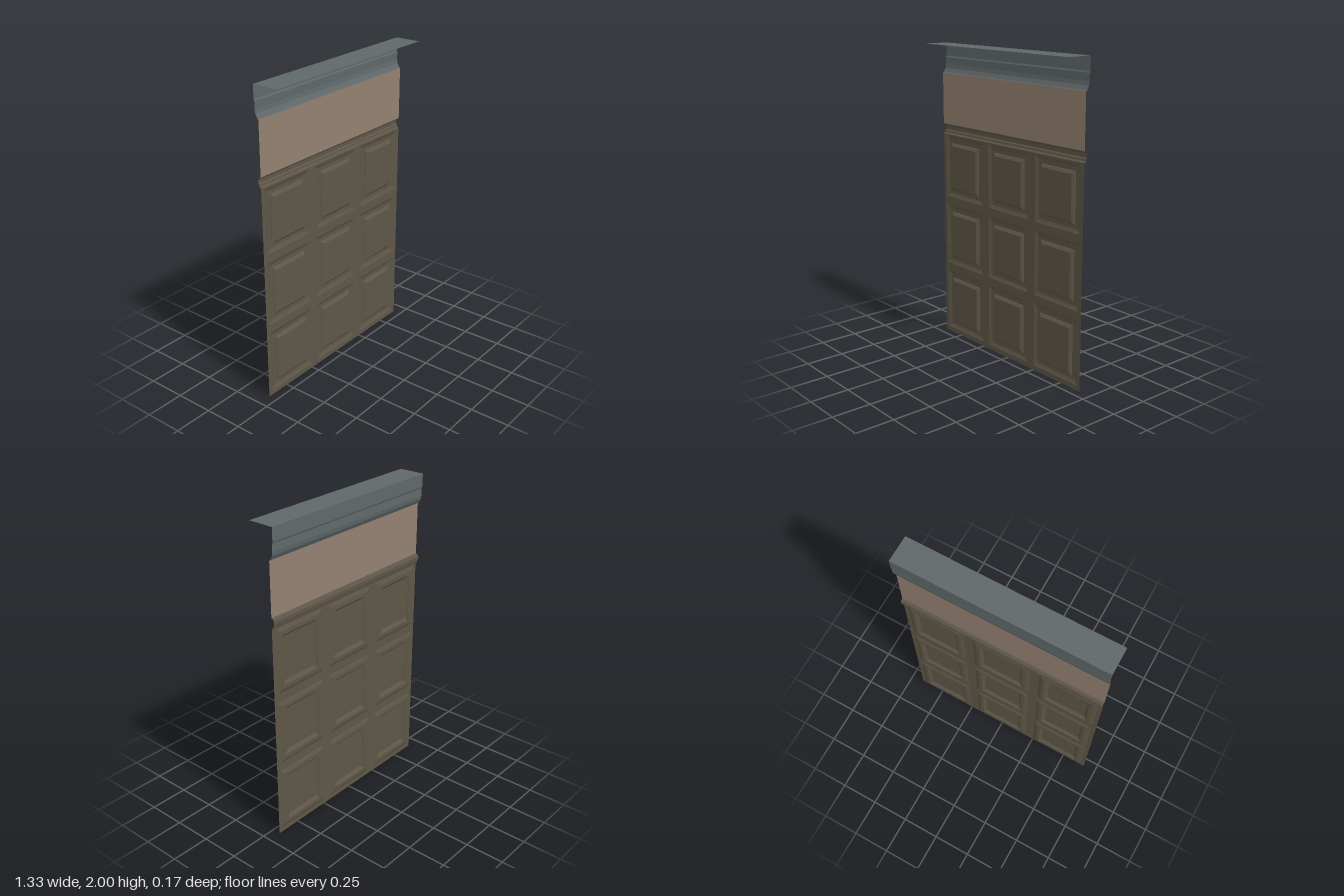
import * as THREE from 'three';

const HALF = 0.665;   // half width of the wall
const WALL_Z = -0.055;

const sheet = (name, color) => {
  const m = new THREE.MeshStandardMaterial({ color, side: THREE.DoubleSide });
  m.name = name;
  return m;
};

// Flat-shaded quads, each given as four corners counter-clockwise from the front
function quads(list) {
  const pos = [];
  for (const [a, b, c, d] of list) pos.push(...a, ...b, ...c, ...a, ...c, ...d);
  const g = new THREE.BufferGeometry();
  g.setAttribute('position', new THREE.Float32BufferAttribute(pos, 3));
  g.computeVertexNormals();
  return g;
}

// Sweeps a [y, z] profile, listed from top to bottom, across the full width
function molding(profile) {
  const list = [];
  for (let i = 0; i < profile.length - 1; i++) {
    const [y1, z1] = profile[i], [y0, z0] = profile[i + 1];
    list.push([[-HALF, y0, z0], [HALF, y0, z0], [HALF, y1, z1], [-HALF, y1, z1]]);
  }
  return quads(list);
}

// Nested rectangular rings from [inset, z] steps, closed by a flat field
function panel(w, h, steps) {
  const loops = steps.map(([d, z]) => {
    const x = w / 2 - d, y = h / 2 - d;
    return [[-x, -y, z], [x, -y, z], [x, y, z], [-x, y, z]];
  });
  const list = [loops[loops.length - 1]];
  for (let i = 0; i < loops.length - 1; i++) {
    const o = loops[i], n = loops[i + 1];
    for (let k = 0; k < 4; k++) {
      const j = (k + 1) % 4;
      list.push([o[k], o[j], n[j], n[k]]);
    }
  }
  return quads(list);
}

export function createModel() {
  const group = new THREE.Group();
  const wood = sheet('dark wood', 0x5e5647);
  const plaster = sheet('tan plaster', 0x948171);
  const grey = sheet('slate grey', 0x606869);
  const add = (name, geometry, material) => {
    const mesh = new THREE.Mesh(geometry, material);
    mesh.name = name;
    group.add(mesh);
    return mesh;
  };

  // Frame with nine openings, each filled by a panel
  const frame = new THREE.Shape();
  frame.moveTo(-HALF, 0).lineTo(HALF, 0).lineTo(HALF, 1.4).lineTo(-HALF, 1.4).closePath();
  const w = 0.382, h = 0.414;
  const steps = [[0, WALL_Z], [0.008, -0.059], [0.024, -0.064], [0.047, -0.064],
    [0.05, -0.059], [0.06, -0.053], [0.066, -0.049]];
  const panelGeometry = panel(w, h, steps);
  for (const cy of [0.239, 0.71, 1.182]) {
    for (const cx of [-0.445, 0, 0.445]) {
      const x = w / 2, y = h / 2;
      const hole = new THREE.Path();
      hole.moveTo(cx - x, cy - y).lineTo(cx - x, cy + y).lineTo(cx + x, cy + y).lineTo(cx + x, cy - y).closePath();
      frame.holes.push(hole);
      add('wallPanel', panelGeometry, wood).position.set(cx, cy, 0);
    }
  }
  add('panelFrame', new THREE.ShapeGeometry(frame), wood).position.z = WALL_Z;

  // Chair rail
  add('chairRail', molding([[1.468, WALL_Z], [1.464, -0.066], [1.45, -0.075], [1.428, -0.075],
    [1.422, -0.068], [1.408, -0.065], [1.4, WALL_Z]]), wood);

  // Plain upper wall
  add('upperWall', molding([[1.805, WALL_Z], [1.468, WALL_Z]]), plaster);

  // Cornice with its flat lid
  add('cornice', molding([[2, -0.085], [1.915, -0.084], [1.905, -0.079], [1.86, -0.08],
    [1.835, -0.076], [1.81, -0.062], [1.805, WALL_Z]]), grey);
  add('corniceLid', molding([[2, -0.085], [2, 0.085]]), grey);
  return group;
}
